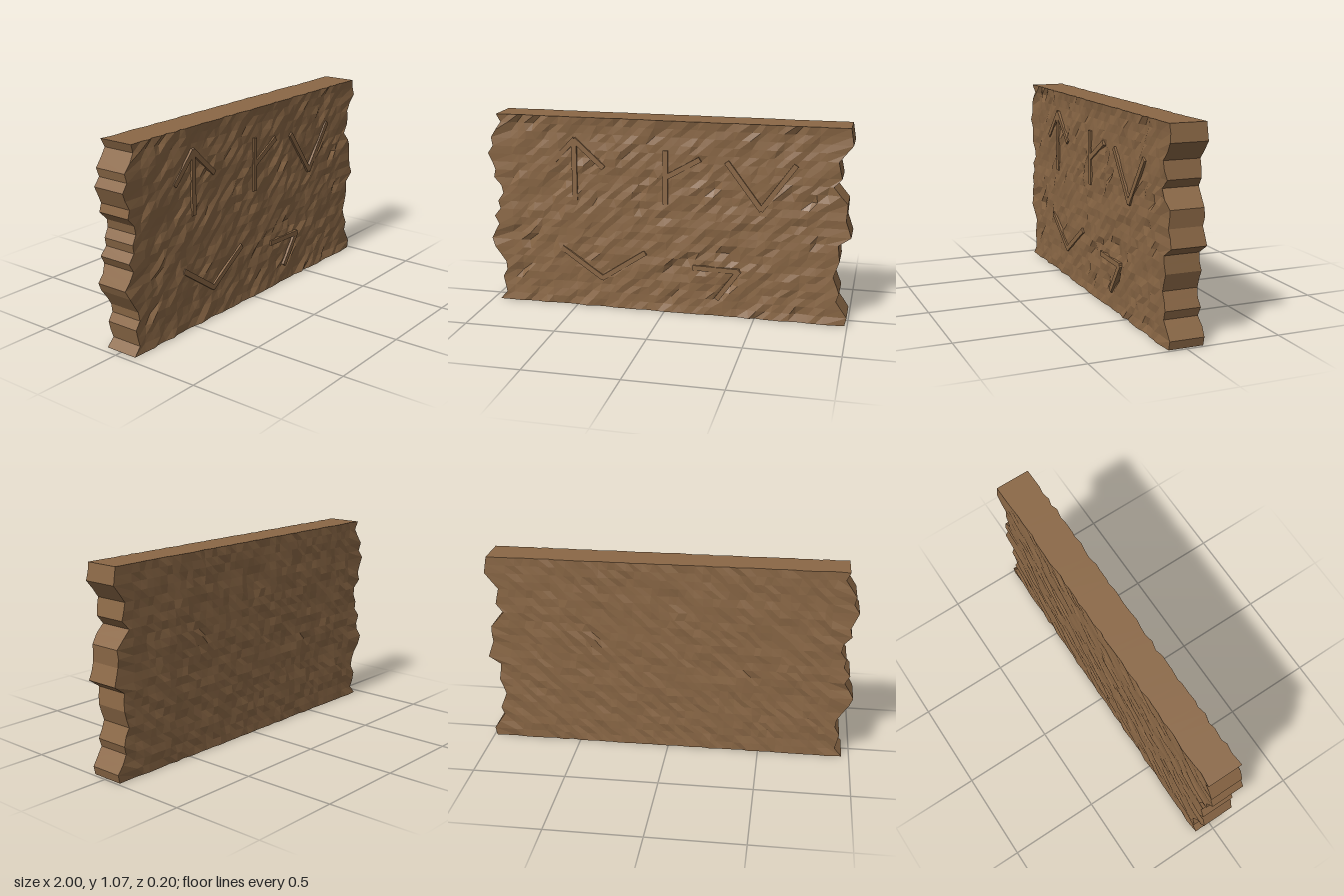
import * as THREE from 'three';

const HEIGHT = 1.07, ROWS = 24, COLS = 40;

// Ragged end profiles: [row, x]
const LEFT = [[0, -0.96], [1, -0.92], [2, -0.93], [3, -0.94], [4, -0.915], [5, -0.92], [6, -0.95], [7, -0.98],
  [8, -1], [10, -0.95], [11, -0.975], [12, -0.94], [13, -0.95], [14, -0.92], [15, -0.93], [16, -0.97], [17, -0.96],
  [19, -1], [20, -0.97], [21, -0.98], [22, -0.95], [23, -0.92], [24, -0.94]];
const RIGHT = [[0, 0.985], [1, 0.995], [3, 0.935], [4, 0.95], [6, 0.915], [8, 0.945], [10, 0.935], [11, 1],
  [13, 0.97], [15, 0.975], [17, 0.9], [18, 0.94], [20, 0.92], [22, 0.99], [24, 0.975]];

// Carved signs as strokes: [x1, y1, x2, y2]
const SIGNS = {
  arrowSign: [[-0.5, 0.615, -0.5, 0.92], [-0.64, 0.8, -0.5, 0.945], [-0.5, 0.945, -0.34, 0.8]],
  branchSign: [[0.007, 0.62, 0.007, 0.905], [0.02, 0.77, 0.19, 0.868]],
  deepChevronSign: [[0.34, 0.86, 0.525, 0.615], [0.525, 0.615, 0.7, 0.86]],
  wideChevronSign: [[-0.58, 0.33, -0.35, 0.17], [-0.35, 0.17, -0.11, 0.33]],
  hookSign: [[0.165, 0.268, 0.41, 0.262], [0.41, 0.262, 0.295, 0.1]],
};

function profileAt(profile, row) {
  const k = Math.max(1, profile.findIndex(p => p[0] >= row));
  const [r0, x0] = profile[k - 1], [r1, x1] = profile[k];
  return x0 + (x1 - x0) * (row - r0) / (r1 - r0);
}

// Repeatable value from 0 to 1 for each grid point
function hash(i, j, seed) {
  const s = Math.sin(i * 127.1 + j * 311.7 + seed * 74.7) * 43758.5453;
  return s - Math.floor(s);
}

// Relief depth, stretched along the rising diagonal like chisel strokes
function relief(i, j, seed) {
  return 0.6 * hash(i, j, seed) + 0.4 * hash(i - 1, j - 1, seed);
}

function slabGeometry() {
  const pos = [], index = [], n = COLS + 1, ring = 2 * n;

  // One closed ring per row: front left to right, then back right to left
  for (let j = 0; j <= ROWS; j++) {
    const y = HEIGHT * j / ROWS;
    for (let k = 0; k < ring; k++) {
      const front = k < n;
      const i = front ? k : ring - 1 - k;
      const jitter = (hash(i, j, 3) - 0.5) * 0.025;
      let x = -0.87 + 1.74 * (i - 1) / (COLS - 2) + jitter;
      if (i === 0) x = profileAt(LEFT, j);
      if (i === COLS) x = profileAt(RIGHT, j);
      const edge = i === 0 || i === COLS || j === 0 || j === ROWS;
      let z;
      if (front) {
        z = (edge ? 0.1 : 0.096) - 0.019 * relief(i, j, 1);
        if (hash(i, j, 9) > 0.975) z -= 0.012;
      } else {
        z = -0.102 + 0.014 * relief(i, j, 2);
      }
      pos.push(x, y, z);
    }
  }

  // Walls, with the facet split rising towards +x on both faces
  for (let j = 0; j < ROWS; j++) {
    for (let k = 0; k < ring; k++) {
      const a = j * ring + k, b = j * ring + (k + 1) % ring;
      const c = b + ring, d = a + ring;
      if (k < n) index.push(a, b, c, a, c, d);
      else index.push(a, b, d, b, c, d);
    }
  }

  // Flat top and bottom
  const top = ROWS * ring;
  for (let i = 0; i < COLS; i++) {
    const a = i, b = i + 1, c = ring - 2 - i, d = ring - 1 - i;
    index.push(top + a, top + b, top + c, top + a, top + c, top + d);
    index.push(a, c, b, a, d, c);
  }

  const indexed = new THREE.BufferGeometry();
  indexed.setAttribute('position', new THREE.Float32BufferAttribute(pos, 3));
  indexed.setIndex(index);
  const geometry = indexed.toNonIndexed();
  geometry.computeVertexNormals();
  return geometry;
}

export function createModel() {
  const model = new THREE.Group();
  model.name = 'signStone';
  const brown = new THREE.MeshStandardMaterial({ color: 0x8b6846 });
  brown.name = 'brown';

  const slab = new THREE.Mesh(slabGeometry(), brown);
  slab.name = 'slab';
  model.add(slab);

  // Signs set almost flush into the rough face
  for (const [name, strokes] of Object.entries(SIGNS)) {
    const sign = new THREE.Group();
    sign.name = name;
    for (const [x1, y1, x2, y2] of strokes) {
      const length = Math.hypot(x2 - x1, y2 - y1) + 0.01;
      const bar = new THREE.Mesh(new THREE.BoxGeometry(length, 0.028, 0.03), brown);
      bar.name = 'stroke';
      bar.position.set((x1 + x2) / 2, (y1 + y2) / 2, 0.082);
      bar.rotation.z = Math.atan2(y2 - y1, x2 - x1);
      sign.add(bar);
    }
    model.add(sign);
  }
  return model;
}
